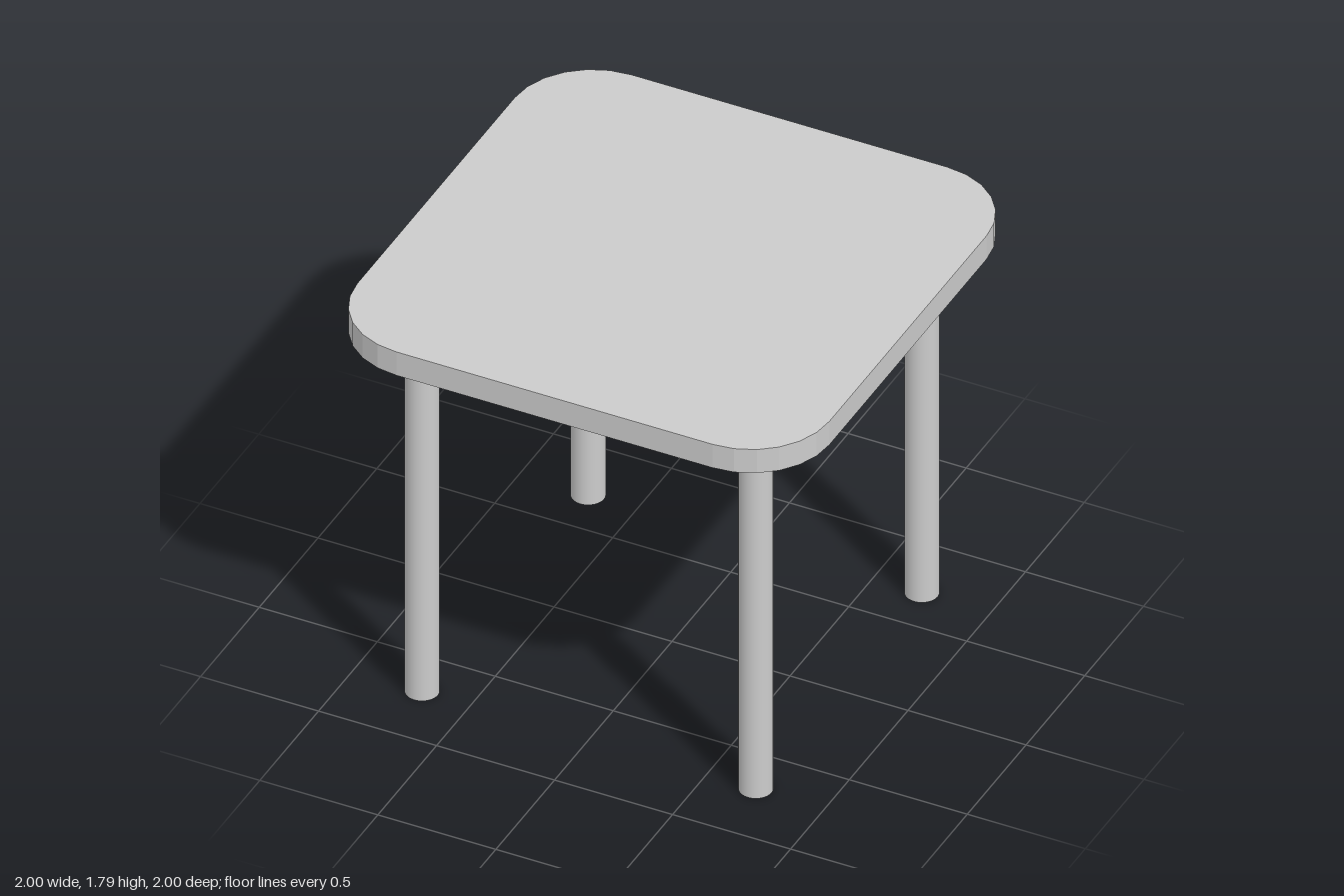
import * as THREE from 'three';

export function createModel() {
  const group = new THREE.Group();
  const material = new THREE.MeshStandardMaterial({ color: 0xcccccc });
  const height = 1.79, thickness = 0.11, radius = 0.33;
  const underside = height - thickness;

  // Square top with faceted round corners (an arc gets two segments per curveSegment)
  const outline = new THREE.Shape();
  const c = 1 - radius;
  [[c, c], [-c, c], [-c, -c], [c, -c]].forEach(([x, y], i) => {
    outline.absarc(x, y, radius, i * Math.PI / 2, (i + 1) * Math.PI / 2, false);
  });
  outline.closePath();
  const topGeometry = new THREE.ExtrudeGeometry(outline, {
    depth: thickness, bevelEnabled: false, curveSegments: 3,
  });
  topGeometry.rotateX(-Math.PI / 2);
  const top = new THREE.Mesh(topGeometry, material);
  top.name = 'tableTop';
  top.position.y = underside;
  group.add(top);

  // Four round legs
  const legGeometry = new THREE.CylinderGeometry(0.067, 0.067, underside, 32);
  for (const [z, end] of [[0.707, 'front'], [-0.707, 'back']]) {
    for (const [x, side] of [[0.707, 'Left'], [-0.707, 'Right']]) {
      const leg = new THREE.Mesh(legGeometry, material);
      leg.name = `${end}${side}Leg`;
      leg.position.set(x, underside / 2, z);
      group.add(leg);
    }
  }
  return group;
}
